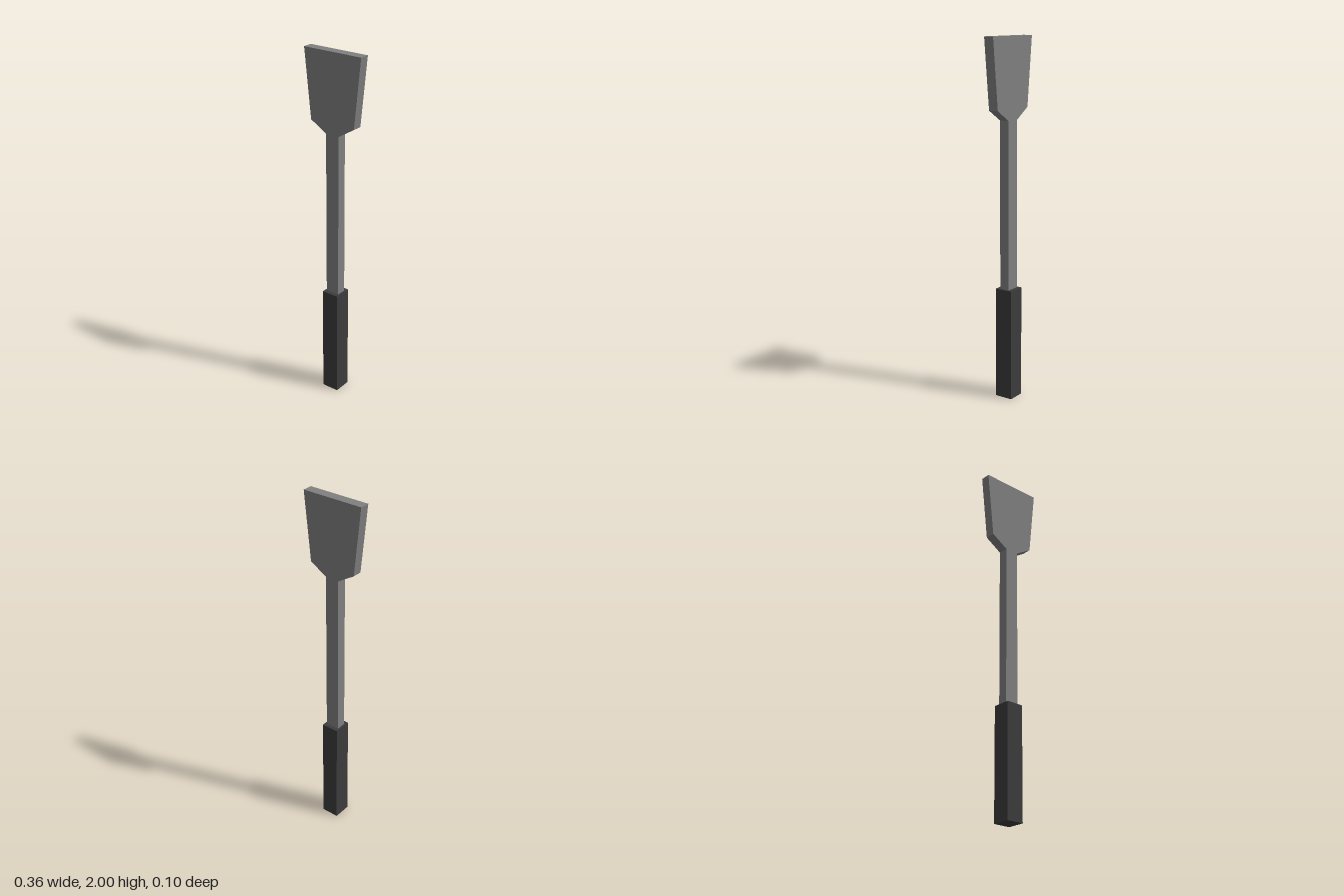
import * as THREE from 'three';

export function createModel() {
  const model = new THREE.Group();
  const metal = new THREE.MeshStandardMaterial({ color: 0x808080, flatShading: true });
  const grip = new THREE.MeshStandardMaterial({ color: 0x3c3c3c, flatShading: true });
  const thickness = 0.056;

  // Blade and shaft: one flat mirrored outline, listed from the shaft's foot up
  const half = [[0.04, 0.62], [0.04, 1.56], [0.138, 1.62], [0.178, 2]];
  const mirrored = half.map(([x, y]) => [-x, y]).reverse();
  const outline = new THREE.Shape([...half, ...mirrored].map(([x, y]) => new THREE.Vector2(x, y)));
  const bladeGeometry = new THREE.ExtrudeGeometry(outline, { depth: thickness, bevelEnabled: false });
  bladeGeometry.translate(0, 0, -thickness / 2);
  const blade = new THREE.Mesh(bladeGeometry, metal);
  blade.name = 'bladeAndShaft';
  model.add(blade);

  // Square grip around the lower end of the shaft
  const handle = new THREE.Mesh(new THREE.BoxGeometry(0.1, 0.63, 0.103), grip);
  handle.position.y = 0.315;
  handle.name = 'handle';
  model.add(handle);

  return model;
}
